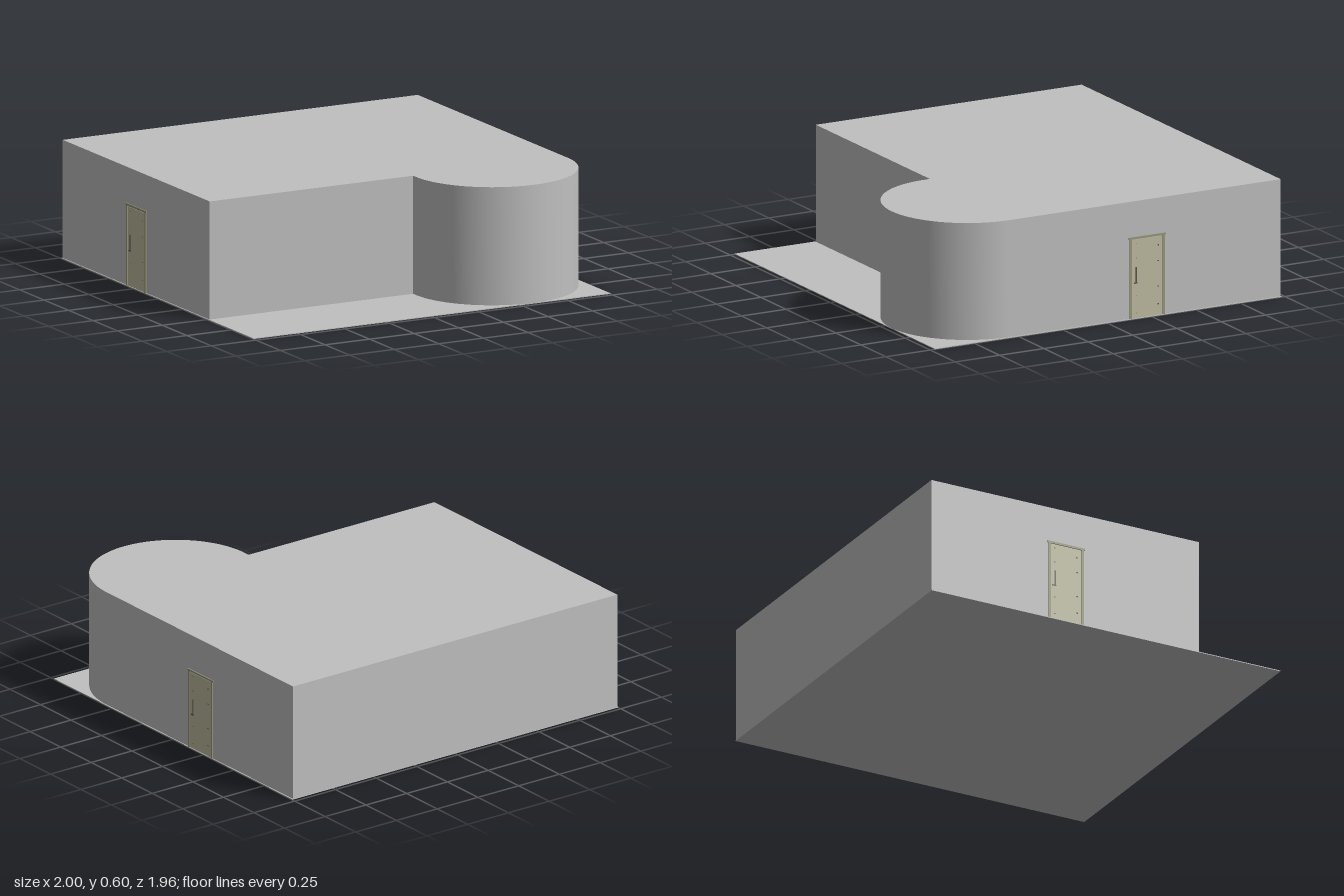
import * as THREE from 'three';
import { toCreasedNormals } from 'three/addons/utils/BufferGeometryUtils.js';

const WALL_X = 0.995;   // outer face of the side walls
const DOOR_Z = -0.225;  // centre of both doors

export function createModel() {
  const model = new THREE.Group();
  model.name = 'building';

  const material = (name, color) => {
    const m = new THREE.MeshStandardMaterial({ color });
    m.name = name;
    return m;
  };
  const concrete = material('pale grey', 0xc0c0c0);
  const cream = material('cream', 0xbebca0);
  const olive = material('olive grey', 0x98977c);
  const dark = material('dark metal', 0x55554a);

  const box = (parent, name, mat, w, h, d, x, y, z) => {
    const mesh = new THREE.Mesh(new THREE.BoxGeometry(w, h, d), mat);
    mesh.name = name;
    mesh.position.set(x, y, z);
    parent.add(mesh);
    return mesh;
  };

  // Ground slab
  box(model, 'groundSlab', concrete, 2, 0.004, 1.955, 0, 0.002, -0.0025);

  // Main block with a rounded bay at the front; plan is drawn with y = -z
  const plan = new THREE.Shape();
  plan.moveTo(-WALL_X, 0.979);
  plan.lineTo(-WALL_X, -0.52);
  plan.lineTo(0.145, -0.52);
  plan.lineTo(0.145, -0.55);
  plan.absarc(0.57, -0.55, 0.425, Math.PI, Math.PI * 2, false);
  plan.lineTo(WALL_X, 0.979);
  plan.closePath();
  const block = new THREE.ExtrudeGeometry(plan, { depth: 0.596, bevelEnabled: false, curveSegments: 48 });
  block.rotateX(-Math.PI / 2);
  const walls = new THREE.Mesh(toCreasedNormals(block, 0.5), concrete);
  walls.name = 'wallsAndRoof';
  walls.position.y = 0.004;
  model.add(walls);

  // Door, built facing +z with its origin on the wall face
  const makeDoor = (name) => {
    const door = new THREE.Group();
    door.name = name;
    box(door, 'doorLeaf', cream, 0.176, 0.4, 0.002, 0, 0.204, 0.001);
    for (const side of [-1, 1]) {
      box(door, 'doorJamb', olive, 0.011, 0.404, 0.005, side * 0.0925, 0.206, 0.0025);
    }
    box(door, 'doorLintel', olive, 0.208, 0.011, 0.005, 0, 0.4125, 0.0025);
    // Handle plate and lever
    box(door, 'handlePlate', dark, 0.006, 0.085, 0.0015, -0.062, 0.222, 0.0025);
    box(door, 'handleLever', dark, 0.02, 0.006, 0.002, -0.066, 0.183, 0.0035);
    // Bolts along both edges
    for (const y of [0.06, 0.15, 0.28, 0.36]) {
      box(door, 'hingeBolt', dark, 0.006, 0.006, 0.001, 0.062, y, 0.0025);
    }
    for (const y of [0.03, 0.12, 0.31, 0.385]) {
      box(door, 'lockBolt', dark, 0.004, 0.004, 0.001, -0.062, y, 0.0025);
    }
    return door;
  };

  // One door on each side wall
  for (const [side, name] of [[1, 'leftDoor'], [-1, 'rightDoor']]) {
    const door = makeDoor(name);
    door.rotation.y = side * Math.PI / 2;
    door.position.set(side * WALL_X, 0, DOOR_Z);
    model.add(door);
  }

  return model;
}
